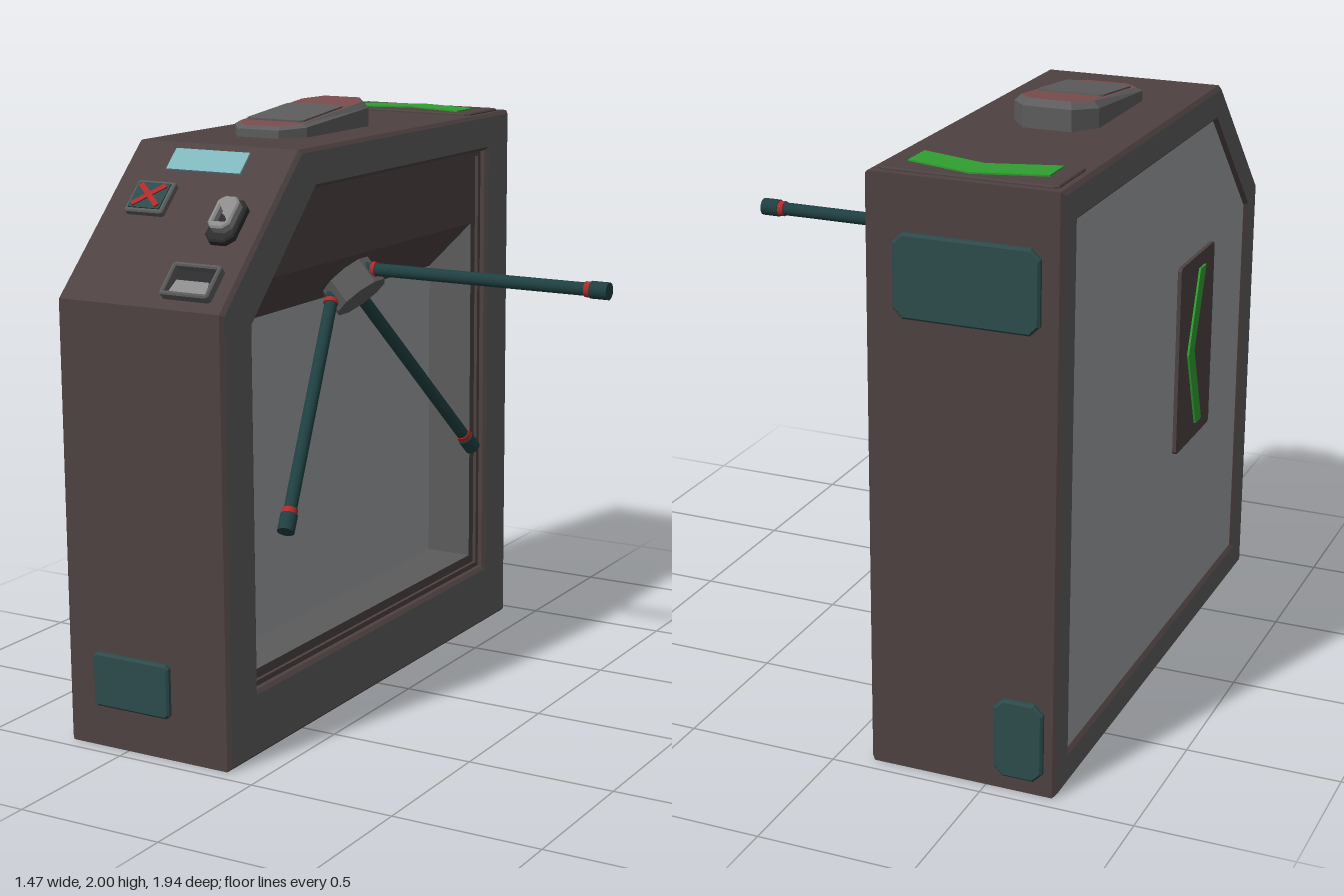
import * as THREE from 'three';

const BROWN = 0x4e4141, FRAME = 0x5c5c5c, PANEL = 0x9a9fa1, TEAL = 0x2c4a4b, ARM = 0x1f3f40,
  RED = 0xb02a2a, GREEN = 0x2f9e30, DARK = 0x2c2c2e, STEEL = 0x8c8c8c;
const mat = (color) => new THREE.MeshStandardMaterial({ color });

// Prism from a 2D outline, running from z0 to z1, with optional hole and edge bevel
function prism(name, pts, z0, z1, cap, side = cap, { hole, bevel = 0 } = {}) {
  const v = (list) => list.map(([x, y]) => new THREE.Vector2(x, y));
  const shape = new THREE.Shape(v(pts));
  if (hole) shape.holes.push(new THREE.Path(v(hole)));
  const geo = new THREE.ExtrudeGeometry(shape, {
    depth: z1 - z0 - 2 * bevel, bevelEnabled: bevel > 0, bevelSize: bevel,
    bevelThickness: bevel, bevelOffset: -bevel, bevelSegments: 1,
  });
  geo.translate(0, 0, z0 + bevel);
  const mesh = new THREE.Mesh(geo, cap === side ? mat(cap) : [mat(cap), mat(side)]);
  mesh.name = name;
  return mesh;
}

// Same prism, seen from the side: outline in (-z, y), running along x
function sidePrism(...args) {
  const mesh = prism(...args);
  mesh.geometry.rotateY(Math.PI / 2);
  return mesh;
}

// Cabinet outline: half depth, bottom, top and the two ends of the sloped front corner
const outline = (z, y0, y1, cz, cy) => [[-z, y0], [z, y0], [z, y1], [-cz, y1], [-z, cy]];

// Rectangle with cut corners, centred on (x, y)
const rect = (x, y, w, h, cx = 0.015, cy = cx) => {
  const a = w / 2, b = h / 2;
  return [[x - a + cx, y - b], [x + a - cx, y - b], [x + a, y - b + cy], [x + a, y + b - cy],
    [x + a - cx, y + b], [x - a + cx, y + b], [x - a, y + b - cy], [x - a, y - b + cy]];
};
const box = (x, y, w, h) => [[x - w / 2, y - h / 2], [x + w / 2, y - h / 2], [x + w / 2, y + h / 2], [x - w / 2, y + h / 2]];

// Group whose local +z is the outward direction of a cabinet face
function face(name, position, rx, ry, ...children) {
  const g = new THREE.Group();
  g.name = name;
  g.position.set(...position);
  g.rotation.set(rx, ry, 0);
  g.add(...children);
  return g;
}

function cylinder(name, r, y0, y1, color, sides = 16) {
  const mesh = new THREE.Mesh(new THREE.CylinderGeometry(r, r, y1 - y0, sides), mat(color));
  mesh.material.flatShading = sides < 12;
  mesh.position.y = (y0 + y1) / 2;
  mesh.name = name;
  return mesh;
}

function cabinet() {
  const g = new THREE.Group();
  g.name = 'cabinet';
  const outer = outline(0.95, 0, 1.91, 0.49, 1.46);
  const opening = outline(0.78, 0.22, 1.78, 0.40, 1.40);
  const rearOpening = outline(0.84, 0.11, 1.80, 0.445, 1.41);
  g.add(
    sidePrism('shell', outer, -0.715, -0.125, FRAME, BROWN, { hole: opening }),
    sidePrism('armSideFrame', outer, -0.15, -0.11, FRAME, BROWN, { hole: opening, bevel: 0.012 }),
    sidePrism('plainSideFrame', outer, -0.73, -0.69, FRAME, BROWN, { hole: rearOpening, bevel: 0.012 }),
    sidePrism('infillPanel', outline(0.86, 0.09, 1.82, 0.46, 1.42), -0.717, -0.32, PANEL),
    // Stepped lining of the opening
    sidePrism('openingLiner', outline(0.785, 0.215, 1.785, 0.40, 1.405), -0.33, -0.15, BROWN, FRAME,
      { hole: [[-0.73, 0.27], [0.73, 0.27], [0.73, 1.52], [-0.60, 1.52], [-0.73, 1.39]] }),
    sidePrism('linerStep', outline(0.785, 0.215, 1.785, 0.40, 1.405), -0.16, -0.138, BROWN, BROWN,
      { hole: outline(0.762, 0.238, 1.762, 0.392, 1.392) }),
    // Sloped underside carrying the hub
    prism('hubMountingSlope', [[-0.33, 1.35], [-0.32, 1.35], [-0.15, 1.52], [-0.33, 1.53]], -0.735, 0.735, BROWN),
  );
  return g;
}

function tripod() {
  const hub = new THREE.Group();
  hub.name = 'tripodHub';
  hub.position.set(-0.21, 1.392, 0);
  hub.rotation.z = -2.402;
  hub.add(cylinder('hubBody', 0.1, -0.12, 0.043, FRAME, 10), cylinder('hubCollar', 0.112, -0.12, -0.06, DARK, 20));
  for (let i = 0; i < 3; i++) {
    const spin = new THREE.Group(), arm = new THREE.Group();
    spin.name = 'armMount';
    spin.rotation.y = i * Math.PI * 2 / 3;
    arm.name = 'arm';
    arm.position.x = -0.1;
    arm.rotation.z = 0.831;
    arm.add(
      cylinder('armTube', 0.022, -0.06, 0.82, ARM),
      cylinder('armBaseRing', 0.026, 0, 0.015, RED),
      cylinder('armTipRing', 0.026, 0.785, 0.805, RED),
      cylinder('armTip', 0.029, 0.805, 0.866, ARM),
    );
    spin.add(arm);
    hub.add(spin);
  }
  return hub;
}

// Wedge-shaped reader on the top
function topReader() {
  const body = prism('readerBody', rect(-0.42, 0.02, 0.28, 0.56, 0.06, 0.08), -0.2, 1, 0x7a4c4c, FRAME, { bevel: 0.02 });
  const geo = body.geometry, p = geo.attributes.position;
  for (let i = 0; i < p.count; i++) {
    const z = -p.getY(i), t = p.getZ(i);
    // keep the bevel band broad, then lean the top towards the front
    const lift = t > 0.99 ? 1 : t > 0.5 ? 0.75 : t;
    p.setXYZ(i, p.getX(i), 1.91 + lift * (0.035 + (0.26 - z) / 0.56 * 0.057), z);
  }
  geo.computeVertexNormals();
  const screen = prism('readerScreen', rect(0, 0, 0.22, 0.27, 0.01), -0.01, 0.006, FRAME);
  const g = new THREE.Group();
  g.name = 'topReader';
  g.add(body, face('readerScreenMount', [-0.42, 1.969, 0.025], -Math.PI / 2 + 0.1, 0, screen));
  return g;
}

// Fittings on the sloped front, measured up the slope from its lower edge
function slopeFittings() {
  const g = face('slopeFittings', [0, 1.46, 0.95], -0.796, 0,
    prism('display', box(-0.425, 0.572, 0.28, 0.085), -0.005, 0.006, 0x7fb5bd),
    prism('statusPlate', rect(-0.56, 0.405, 0.145, 0.125, 0.006), -0.005, 0.022, FRAME, FRAME, { bevel: 0.005 }),
    prism('statusScreen', box(-0.56, 0.405, 0.12, 0.1), 0.015, 0.026, TEAL),
    prism('scannerBase', rect(-0.24, 0.335, 0.105, 0.165, 0.025), -0.005, 0.025, DARK, DARK, { bevel: 0.006 }),
    prism('scannerHood', rect(-0.24, 0.345, 0.08, 0.125, 0.02), 0.02, 0.055, STEEL, STEEL,
      { bevel: 0.006, hole: box(-0.24, 0.35, 0.042, 0.08) }),
    prism('scannerWindow', box(-0.24, 0.35, 0.045, 0.085), 0.02, 0.03, DARK),
    prism('scannerLens', box(-0.24, 0.365, 0.022, 0.035), 0.028, 0.04, 0xcccccc),
    prism('trayFrame', rect(-0.26, 0.1, 0.18, 0.125, 0.008), -0.005, 0.03, FRAME, FRAME,
      { bevel: 0.005, hole: box(-0.26, 0.1, 0.15, 0.095) }),
    prism('trayBack', box(-0.26, 0.1, 0.16, 0.1), -0.005, 0.004, DARK),
    prism('trayFloor', [[-0.33, 0.055], [-0.19, 0.055], [-0.2, 0.105], [-0.32, 0.105]], 0, 0.012, STEEL),
  );
  // Two crossed bars
  for (const s of [-1, 1]) {
    const bar = prism('crossBar', box(0, 0, 0.125, 0.018), 0.02, 0.031, RED);
    bar.position.set(-0.56, 0.405, 0);
    bar.rotation.z = s * 0.7;
    g.add(bar);
  }
  return g;
}

export function createModel() {
  const model = new THREE.Group();
  model.name = 'tripodTurnstile';
  const hatch = (name, x, y, w, h, c) => prism(name, rect(x, y, w, h, c), -0.01, 0.018, TEAL, TEAL, { bevel: 0.007 });
  model.add(
    cabinet(), tripod(), topReader(), slopeFittings(),
    face('frontHatches', [0, 0, 0.95], 0, 0, hatch('frontHatch', -0.475, 0.23, 0.29, 0.18, 0.012)),
    face('backHatches', [0, 0, -0.95], 0, Math.PI,
      hatch('upperBackHatch', 0.435, 1.61, 0.46, 0.26, 0.03),
      hatch('lowerBackHatch', 0.61, 0.18, 0.16, 0.26, 0.03)),
    // Direction signs on the top and the plain side
    face('topSign', [0, 1.91, 0], -Math.PI / 2, 0,
      prism('topSignPlate', rect(-0.42, 0.805, 0.56, 0.235, 0.015), -0.01, 0.008, BROWN, BROWN, { bevel: 0.004 }),
      prism('topSignArrow', [[-0.64, 0.72], [-0.42, 0.785], [-0.2, 0.72], [-0.2, 0.835], [-0.42, 0.895], [-0.64, 0.835]],
        0, 0.013, GREEN)),
    face('sideSign', [-0.717, 0, 0], 0, -Math.PI / 2,
      prism('sideSignPlate', rect(0.3, 1.055, 0.35, 0.65, 0.01), -0.01, 0.013, BROWN),
      prism('sideSignArrow', [[0.31, 0.78], [0.37, 0.78], [0.27, 1.055], [0.37, 1.33], [0.31, 1.33], [0.21, 1.055]],
        0, 0.02, GREEN)),
  );
  return model;
}
